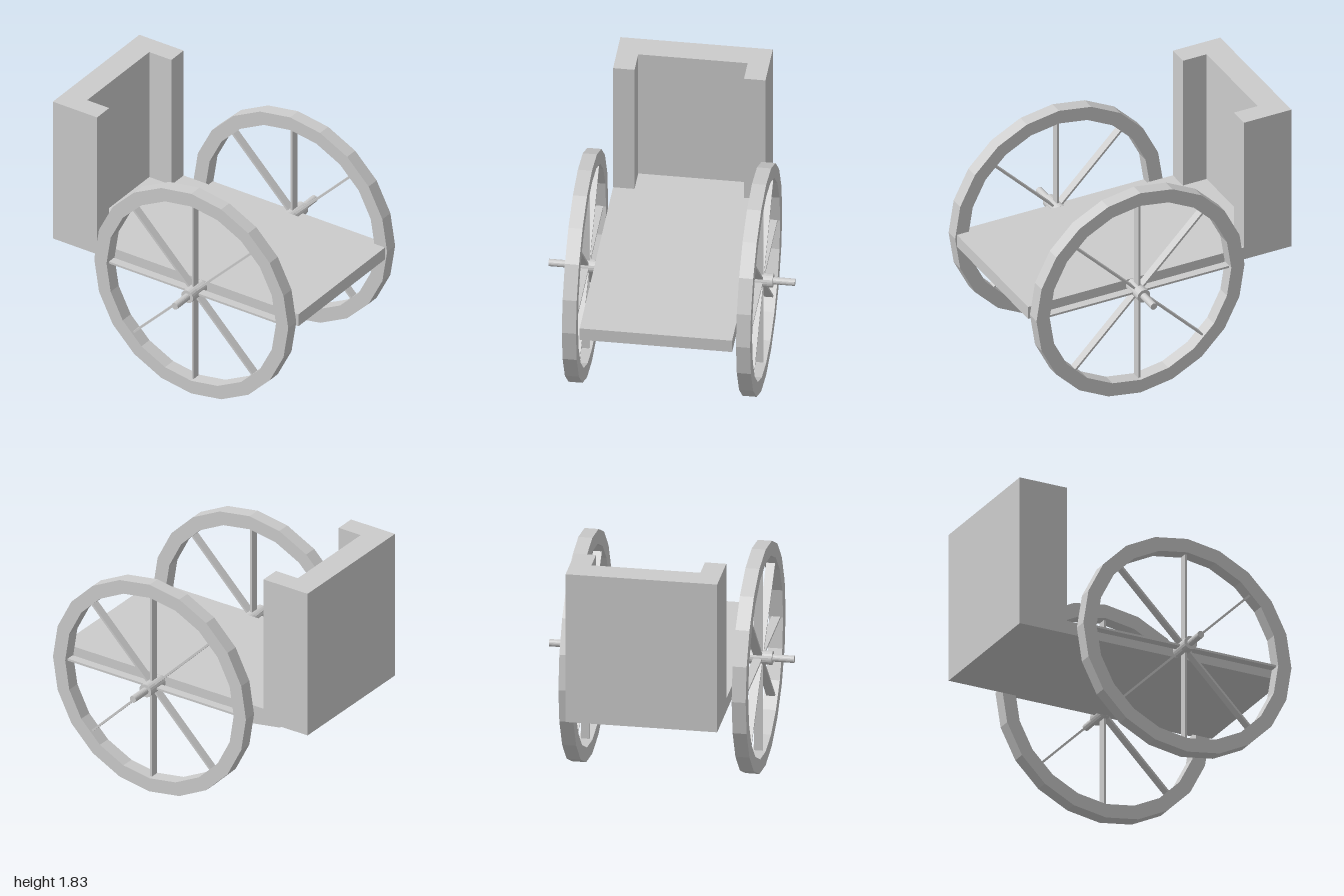
import * as THREE from 'three';

const AXLE_X = 0.21, AXLE_Y = 0.79;
const grey = new THREE.MeshStandardMaterial({ color: 0xcccccc, flatShading: true });

function add(parent, name, geometry, x = 0, y = 0, z = 0) {
  const mesh = new THREE.Mesh(geometry, grey);
  mesh.name = name;
  mesh.position.set(x, y, z);
  parent.add(mesh);
  return mesh;
}

// Regular polygon with a corner on +x
function polygon(radius, sides) {
  return Array.from({ length: sides }, (_, i) => {
    const a = (i / sides) * Math.PI * 2;
    return new THREE.Vector2(radius * Math.cos(a), radius * Math.sin(a));
  });
}

// Cylinder lying along z
function rod(radius, length, sides = 20) {
  return new THREE.CylinderGeometry(radius, radius, length, sides).rotateX(Math.PI / 2);
}

function createWheel(name) {
  const wheel = new THREE.Group();
  wheel.name = name;

  // Faceted rim
  const ring = new THREE.Shape(polygon(0.79, 20));
  ring.holes.push(new THREE.Path(polygon(0.69, 20)));
  const rim = new THREE.ExtrudeGeometry(ring, { depth: 0.096, bevelEnabled: false });
  add(wheel, 'rim', rim.translate(0, 0, -0.048));

  // Four flat slats crossing the hub make eight spokes
  for (let i = 0; i < 4; i++) {
    add(wheel, 'spokePair', new THREE.BoxGeometry(1.365, 0.015, 0.06)).rotation.z = (i * Math.PI) / 4;
  }

  // Hub
  add(wheel, 'hub', rod(0.048, 0.17), 0, 0, 0.012);
  return wheel;
}

export function createModel() {
  const cart = new THREE.Group();
  cart.name = 'cart';

  // Flat deck
  add(cart, 'deck', new THREE.BoxGeometry(2, 0.094, 1.036), 0, 0.791);

  // U-shaped backboard, drawn in plan and raised from the deck
  const plan = new THREE.Shape([
    [-1, -0.518], [-0.64, -0.518], [-0.64, -0.372], [-0.82, -0.372],
    [-0.82, 0.372], [-0.64, 0.372], [-0.64, 0.518], [-1, 0.518],
  ].map(([x, z]) => new THREE.Vector2(x, z)));
  const wall = new THREE.ExtrudeGeometry(plan, { depth: 0.989, bevelEnabled: false });
  add(cart, 'backboard', wall.rotateX(-Math.PI / 2), 0, 0.838);

  // Axle and mirrored wheels
  add(cart, 'axle', rod(0.025, 1.674), AXLE_X, AXLE_Y);
  for (const side of [1, -1]) {
    const wheel = createWheel(side > 0 ? 'frontWheel' : 'backWheel');
    wheel.position.set(AXLE_X, AXLE_Y, side * 0.592);
    if (side < 0) wheel.rotation.y = Math.PI;
    cart.add(wheel);
  }
  return cart;
}
